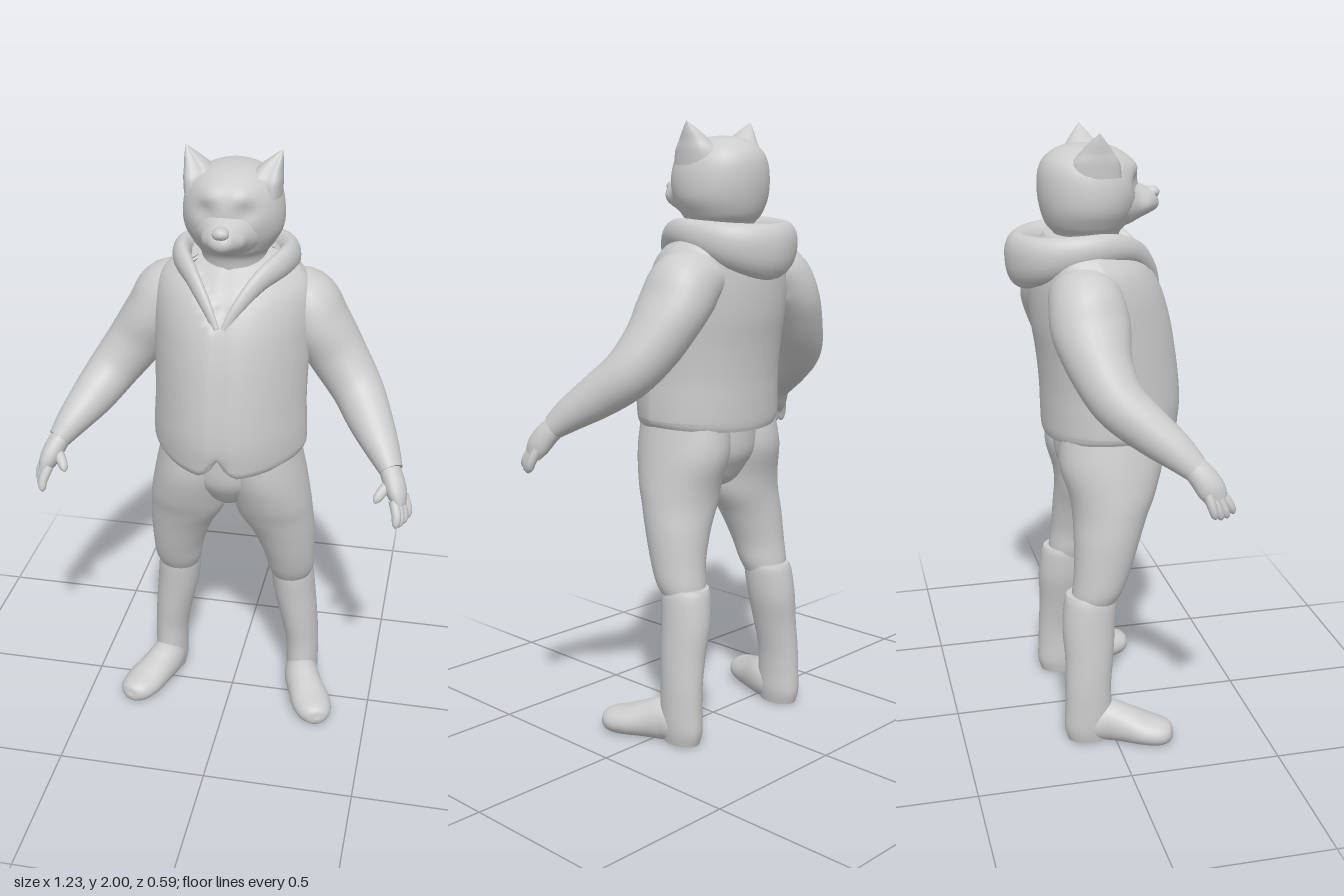
import * as THREE from 'three';

const Y = new THREE.Vector3(0, 1, 0);
const Z = new THREE.Vector3(0, 0, 1);

// Catmull-Rom blend of whole sections [x, y, z, halfWidth, halfDepth]
function sample(sections, t) {
  const last = sections.length - 1;
  const i = Math.min(Math.floor(t), last - 1), f = t - i;
  const at = k => sections[Math.max(0, Math.min(last, k))];
  return at(i).map((p1, k) => {
    const p0 = at(i - 1)[k], p2 = at(i + 1)[k], p3 = at(i + 2)[k];
    return 0.5 * (2 * p1 + (p2 - p0) * f + (2 * p0 - 5 * p1 + 4 * p2 - p3) * f * f
      + (3 * p1 - p0 - 3 * p2 + p3) * f * f * f);
  });
}

// Smooth skin over elliptical sections; flat keeps every ring horizontal
function loft(sections, { flat = false, ref = Z, seg = 28, steps = 5, shape = null } = {}) {
  const rows = (sections.length - 1) * steps, pos = [], index = [];
  const rings = [];
  for (let r = 0; r <= rows; r++) rings.push(sample(sections, r / steps));
  const centre = r => new THREE.Vector3(...rings[Math.max(0, Math.min(rows, r))].slice(0, 3));
  const upright = Y.clone().multiplyScalar(Math.sign(rings[rows][1] - rings[0][1]));
  rings.forEach((s, r) => {
    const T = flat ? upright : centre(r + 1).sub(centre(r - 1)).normalize();
    const U = new THREE.Vector3().crossVectors(T, ref).normalize();
    const V = new THREE.Vector3().crossVectors(U, T);
    for (let j = 0; j < seg; j++) {
      const a = j / seg * Math.PI * 2;
      const p = centre(r).addScaledVector(U, Math.max(s[3], 0) * Math.cos(a))
        .addScaledVector(V, Math.max(s[4], 0) * Math.sin(a));
      if (shape) shape(p, a, s);
      pos.push(p.x, p.y, p.z);
    }
  });
  for (let r = 0; r < rows; r++) for (let j = 0; j < seg; j++) {
    const a = r * seg + j, b = r * seg + (j + 1) % seg;
    index.push(a, a + seg, b, b, a + seg, b + seg);
  }
  // End caps with their own vertices
  for (const r of [0, rows]) {
    const base = pos.length / 3, c = centre(r);
    for (let j = 0; j < seg; j++) pos.push(...pos.slice((r * seg + j) * 3, (r * seg + j) * 3 + 3));
    pos.push(c.x, c.y, c.z);
    for (let j = 0; j < seg; j++) {
      const a = base + j, b = base + (j + 1) % seg;
      index.push(...(r ? [base + seg, b, a] : [base + seg, a, b]));
    }
  }
  const g = new THREE.BufferGeometry();
  g.setAttribute('position', new THREE.Float32BufferAttribute(pos, 3));
  g.setIndex(index);
  g.computeVertexNormals();
  return g;
}

const bump = (p, x, y, z, r) =>
  Math.exp(-((Math.abs(p.x) - x) ** 2 + (p.y - y) ** 2 + (p.z - z) ** 2) / (r * r));

export function createModel() {
  const model = new THREE.Group();
  model.name = 'catFigure';
  const grey = new THREE.MeshStandardMaterial({ color: 0xcccccc });
  grey.name = 'plainGrey';
  const add = (name, sections, options) => {
    const mesh = new THREE.Mesh(loft(sections, options), grey);
    mesh.name = name;
    model.add(mesh);
  };
  const pair = (name, sections, options) => {
    add('left' + name, sections, options);
    add('right' + name, sections.map(([x, ...rest]) => [-x, ...rest]), options);
  };

  // Vest: keeled front, fuller back, notched hem, zip groove and open neck
  add('vest', [
    [0, 1.025, 0.038, 0.24, 0.216], [0, 1.05, 0.041, 0.25, 0.225], [0, 1.12, 0.043, 0.25, 0.23],
    [0, 1.2, 0.039, 0.246, 0.229], [0, 1.3, 0.027, 0.247, 0.227], [0, 1.4, 0.01, 0.25, 0.225],
    [0, 1.5, -0.008, 0.252, 0.212], [0, 1.58, -0.028, 0.24, 0.187], [0, 1.635, -0.05, 0.195, 0.15],
    [0, 1.68, -0.06, 0.12, 0.11],
  ], {
    flat: true, seg: 72, shape: (p, a, s) => {
      const k = Math.sin(a), x = Math.abs(p.x);
      p.z = s[2] + Math.sign(k) * s[4] * Math.abs(k) ** (k > 0 ? 1.45 : 0.85);
      if (k > 0) {
        if (x < 0.008) p.z -= 0.007;
        if (p.y > 1.5 && x < (p.y - 1.5) * 0.8) p.z -= 0.025;
        if (p.y < 1.1) p.y += Math.max(0, 1 - x / 0.055) * 0.05 * (1.1 - p.y) / 0.075;
      }
      if (p.y < 1.06) p.y += 0.015 * Math.cos(a) ** 2 - 0.012 * Math.max(0, k);
    },
  });

  // Hood lying around the neck, tapering to the open collar
  const hoodHalf = [
    [0.012, 1.5, 0.195, 0.008, 0.012], [0.05, 1.565, 0.165, 0.014, 0.022],
    [0.105, 1.63, 0.105, 0.02, 0.034], [0.155, 1.655, 0.015, 0.028, 0.045],
    [0.165, 1.647, -0.09, 0.036, 0.052], [0.115, 1.62, -0.195, 0.048, 0.072],
  ];
  add('hood', [
    ...hoodHalf, [0, 1.6, -0.242, 0.054, 0.088],
    ...hoodHalf.map(([x, ...rest]) => [-x, ...rest]).reverse(),
  ], { ref: Y, seg: 24, shape: (p, a, s) => { if (p.y > s[1]) p.z -= (p.y - s[1]) * 0.12; } });

  // Head with eye hollows, brows and full cheeks
  add('head', [
    [0, 1.58, -0.035, 0.1, 0.09], [0, 1.67, -0.035, 0.102, 0.1], [0, 1.71, -0.037, 0.127, 0.128],
    [0, 1.76, -0.034, 0.153, 0.148], [0, 1.82, -0.031, 0.157, 0.159], [0, 1.88, -0.034, 0.144, 0.151],
    [0, 1.92, -0.036, 0.115, 0.125], [0, 1.948, -0.038, 0.065, 0.074], [0, 1.957, -0.038, 0.001, 0.001],
  ], {
    flat: true, seg: 48, shape: p => {
      if (p.z < 0) return;
      p.z += 0.012 * bump(p, 0.05, 1.885, 0.1, 0.035) - 0.016 * bump(p, 0.062, 1.84, 0.11, 0.033);
    },
  });
  // Muzzle and nose in one smooth form, with soft lips
  add('muzzle', [
    [0, 1.775, 0.04, 0.125, 0.088], [0, 1.773, 0.09, 0.092, 0.075], [0, 1.773, 0.13, 0.064, 0.056],
    [0, 1.774, 0.162, 0.048, 0.042], [0, 1.777, 0.185, 0.03, 0.03], [0, 1.782, 0.195, 0.001, 0.001],
  ], {
    ref: Y, shape: p => {
      p.x *= 1 + 0.25 * bump(p, 0.04, 1.76, 0.145, 0.03);
    },
  });
  add('nose', [
    [0, 1.8, 0.14, 0.018, 0.014], [0, 1.798, 0.178, 0.026, 0.019],
    [0, 1.795, 0.194, 0.019, 0.014], [0, 1.793, 0.2, 0.001, 0.001],
  ], { ref: Y, seg: 16 });

  // Ears: broad triangles, slightly hollow on the front face
  pair('Ear', [
    [0.1, 1.865, -0.018, 0.05, 0.092], [0.102, 1.91, -0.018, 0.05, 0.083], [0.109, 1.94, -0.02, 0.042, 0.058],
    [0.127, 1.97, -0.023, 0.024, 0.031], [0.147, 2.0, -0.026, 0.001, 0.001],
  ], {
    flat: true, seg: 20, shape: (p, a, s) => {
      const k = Math.sin(a);
      if (k > 0) p.z -= s[4] * 0.4 * k * k * (1 - Math.abs(Math.cos(a)));
    },
  });

  // Arms reach outward and forward
  pair('Arm', [
    [0.12, 1.53, -0.08, 0.07, 0.1], [0.21, 1.5, -0.083, 0.112, 0.117], [0.272, 1.425, -0.08, 0.1, 0.122],
    [0.335, 1.33, -0.065, 0.093, 0.1], [0.402, 1.24, -0.025, 0.083, 0.084],
    [0.455, 1.17, 0.05, 0.072, 0.072], [0.505, 1.11, 0.125, 0.054, 0.058], [0.54, 1.063, 0.175, 0.037, 0.042],
  ]);
  pair('Palm', [
    [0.52, 1.09, 0.148, 0.03, 0.035], [0.547, 1.045, 0.19, 0.034, 0.042],
    [0.566, 1.005, 0.217, 0.031, 0.044], [0.579, 0.972, 0.232, 0.018, 0.034],
  ], { seg: 18 });
  const mix = THREE.MathUtils.lerp;
  for (let i = 0; i < 4; i++) {
    const t = i / 3, reach = i === 1 || i === 2 ? 0.008 : 0;
    pair('Finger' + (i + 1), [
      [mix(0.558, 0.585, t), 0.995, mix(0.247, 0.2, t), 0.016, 0.015],
      [mix(0.571, 0.6, t), 0.957 - reach, mix(0.272, 0.212, t), 0.015, 0.014],
      [mix(0.571, 0.602, t), 0.932 - reach, mix(0.284, 0.219, t), 0.011, 0.011],
      [mix(0.57, 0.6, t), 0.921 - reach, mix(0.288, 0.221, t), 0.001, 0.001],
    ], { seg: 10, steps: 3 });
  }
  pair('Thumb', [
    [0.545, 1.035, 0.2, 0.02, 0.018], [0.52, 1.015, 0.23, 0.018, 0.016],
    [0.505, 0.995, 0.25, 0.013, 0.012], [0.501, 0.985, 0.257, 0.001, 0.001],
  ], { seg: 12, steps: 3 });

  // Trousers
  add('trouserSeat', [
    [0, 1.05, 0.02, 0.15, 0.17], [0, 0.95, 0.02, 0.15, 0.163], [0, 0.89, 0.02, 0.115, 0.132],
    [0, 0.835, 0.015, 0.06, 0.085], [0, 0.805, 0.012, 0.001, 0.001],
  ], { flat: true });
  pair('TrouserLeg', [
    [0.112, 1.05, 0.022, 0.115, 0.17], [0.122, 0.95, 0.018, 0.128, 0.172], [0.139, 0.85, 0.018, 0.13, 0.144],
    [0.15, 0.78, 0.008, 0.127, 0.124], [0.176, 0.7, -0.008, 0.107, 0.109], [0.195, 0.6, -0.027, 0.088, 0.094],
    [0.2, 0.53, -0.045, 0.08, 0.084], [0.2, 0.485, -0.06, 0.066, 0.072],
  ], { flat: true });

  // Boots: shaft and outward-turned foot with a flat sole
  pair('BootShaft', [
    [0.2, 0.52, -0.068, 0.066, 0.082], [0.203, 0.49, -0.07, 0.073, 0.088], [0.212, 0.4, -0.078, 0.073, 0.088],
    [0.228, 0.3, -0.08, 0.066, 0.081], [0.241, 0.2, -0.086, 0.059, 0.077],
    [0.244, 0.12, -0.086, 0.057, 0.079], [0.244, 0.05, -0.088, 0.056, 0.079], [0.244, 0.004, -0.085, 0.048, 0.07],
  ], { flat: true });
  pair('Foot', [
    [0.24, 0.055, -0.12, 0.035, 0.04], [0.246, 0.06, -0.07, 0.055, 0.062], [0.253, 0.065, -0.02, 0.061, 0.072],
    [0.277, 0.055, 0.04, 0.064, 0.062], [0.305, 0.044, 0.1, 0.069, 0.05], [0.327, 0.038, 0.15, 0.058, 0.042],
    [0.337, 0.034, 0.176, 0.034, 0.028], [0.34, 0.034, 0.185, 0.001, 0.001],
  ], { ref: Y, shape: p => { p.y = Math.max(p.y, 0); } });

  return model;
}
